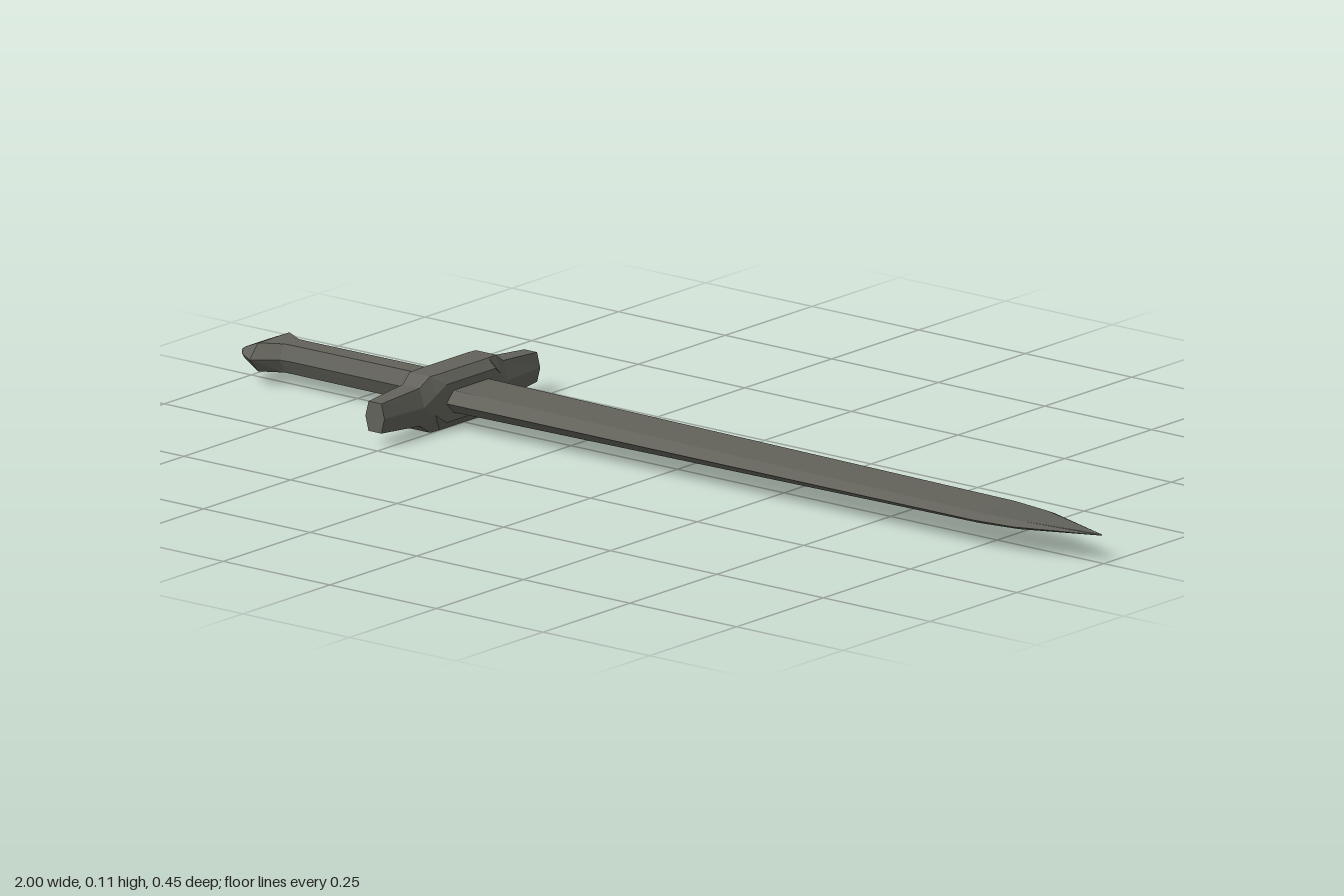
import * as THREE from 'three';

// Skins a row of cross-sections (each counter-clockwise about the axis) and caps both ends
function loft(rings) {
  const pos = [];
  const tri = (a, b, c) => pos.push(...a, ...b, ...c);
  const n = rings[0].length;
  for (let i = 0; i < rings.length - 1; i++) {
    for (let j = 0; j < n; j++) {
      const k = (j + 1) % n;
      const [a, b, c, d] = [rings[i][j], rings[i][k], rings[i + 1][k], rings[i + 1][j]];
      tri(a, b, c);
      tri(a, c, d);
    }
  }
  const first = rings[0], last = rings[rings.length - 1];
  for (let j = 1; j < n - 1; j++) {
    tri(first[0], first[j + 1], first[j]);
    tri(last[0], last[j], last[j + 1]);
  }
  const geo = new THREE.BufferGeometry();
  geo.setAttribute('position', new THREE.Float32BufferAttribute(pos, 3));
  geo.computeVertexNormals();
  return geo;
}

// Hexagon across x: half height h, half width w at the ridge, half width f of the flat
const hexX = ([x, h, w, f]) => [
  [x, h, f], [x, 0, w], [x, -h, f], [x, -h, -f], [x, 0, -w], [x, h, -f],
];

// Octagon across z: flat top half width b at height h, sides half width a up to height s
const octZ = ([z, b, h, a, s]) => [
  [a, -s, z], [a, s, z], [b, h, z], [-b, h, z], [-a, s, z], [-a, -s, z], [-b, -h, z], [b, -h, z],
];

export function createModel() {
  const sword = new THREE.Group();
  sword.name = 'sword';
  const steel = new THREE.MeshStandardMaterial({ color: 0x62625b, flatShading: true });
  steel.name = 'dark steel';

  const add = (name, rings, x = 0) => {
    const mesh = new THREE.Mesh(loft(rings), steel);
    mesh.name = name;
    mesh.position.set(x, 0.053, 0);
    sword.add(mesh);
  };

  // Blade, thinning towards the point
  add('blade', [
    [-0.5, 0.021, 0.071, 0.05],
    [0.75, 0.01, 0.07, 0.05],
    [0.835, 0.008, 0.06, 0.042],
    [0.995, 0.001, 0.001, 0.0005],
  ].map(hexX));

  // Crossguard, mirrored about the middle
  const half = [
    [0.07, 0.026, 0.053, 0.043, 0.036],
    [0.095, 0.024, 0.053, 0.037, 0.018],
    [0.12, 0.02, 0.036, 0.031, 0.001],
    [0.224, 0.015, 0.028, 0.022, 0.001],
  ];
  const mirrored = half.map(([z, ...rest]) => [-z, ...rest]).reverse();
  add('crossguard', [...mirrored, ...half].map(octZ), -0.527);

  // Collar between grip and guard
  add('collar', [
    [-0.6, 0.028, 0.034, 0.02],
    [-0.585, 0.035, 0.045, 0.028],
    [-0.55, 0.035, 0.047, 0.028],
  ].map(hexX));

  // Grip
  add('grip', [
    [-0.91, 0.027, 0.033, 0.02],
    [-0.59, 0.028, 0.033, 0.02],
  ].map(hexX));

  // Pommel, flared sideways and wedge-shaped at the end
  add('pommel', [
    [-1, 0.003, 0.026, 0.024],
    [-0.985, 0.011, 0.045, 0.036],
    [-0.947, 0.027, 0.07, 0.045],
    [-0.905, 0.027, 0.036, 0.021],
    [-0.88, 0.027, 0.033, 0.02],
  ].map(hexX));

  return sword;
}
